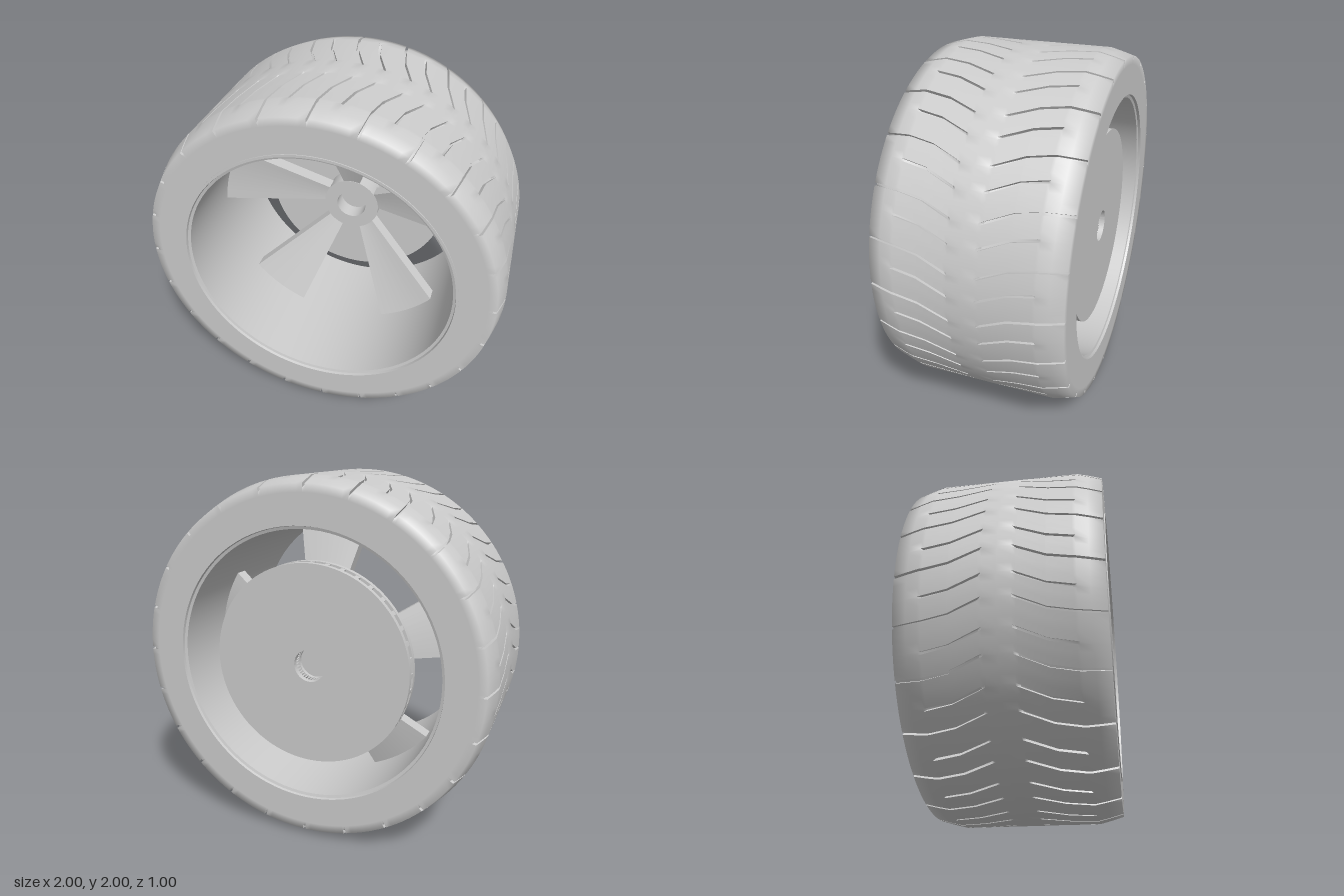
import * as THREE from 'three';
import { toCreasedNormals } from 'three/addons/utils/BufferGeometryUtils.js';

const material = new THREE.MeshStandardMaterial({ color: 0xcccccc });

function add(parent, name, geometry) {
  const mesh = new THREE.Mesh(geometry, material);
  mesh.name = name;
  parent.add(mesh);
  return mesh;
}

// Closed ring turned about the z axis; points are [radius, z], anticlockwise
function turned(points, segments = 96) {
  const profile = points.map(([r, z]) => new THREE.Vector2(r, z));
  const geometry = new THREE.LatheGeometry(profile, segments).rotateX(Math.PI / 2);
  return toCreasedNormals(geometry, 0.6);
}

const ring = (inner, outer, z0, z1) =>
  turned([[inner, z0], [outer, z0], [outer, z1], [inner, z1], [inner, z0]]);

// Tapered radial bar along +y with an arced outer end
function radialBar(r0, r1, half0, half1, z0, z1, depth) {
  const geometry = new THREE.BoxGeometry(2, 1, 1, 6, 1, 1);
  const p = geometry.attributes.position;
  for (let i = 0; i < p.count; i++) {
    const outer = p.getY(i) > 0;
    const x = p.getX(i) * (outer ? half1 : half0);
    const r = outer ? r1 : r0;
    p.setXYZ(i, x, Math.sqrt(r * r - x * x), (outer ? z1 : z0) + (p.getZ(i) - 0.5) * depth);
  }
  return toCreasedNormals(geometry, 0.6);
}

// Angular sweep of the chevron grooves at distance z from the centre line
function sweep(z) {
  const keys = [[0, 0], [0.07, 0], [0.23, 0.07], [0.36, 0.095], [0.5, 0.105]];
  const a = Math.min(Math.abs(z), 0.5);
  for (let i = 1; i < keys.length; i++) {
    const [z0, s0] = keys[i - 1], [z1, s1] = keys[i];
    if (a <= z1) return s0 + (s1 - s0) * (a - z0) / (z1 - z0);
  }
  return 0;
}

// Tyre skin: a grid whose columns follow the grooves and sink into them
function tyreGeometry() {
  const D = 0.02, W = 0.007, COUNT = 24, PITCH = Math.PI * 2 / COUNT;
  // [radius, z, long groove depth, short groove depth]
  const half = [
    [0.765, 0.47, 0, 0], [0.77, 0.5, 0, 0], [0.85, 0.5, 0, 0], [0.92, 0.5, 0, 0],
    [0.965, 0.5, D, 0], [0.985, 0.43, D, 0], [1, 0.37, D, 0], [1, 0.355, D, D],
    [1, 0.23, D, D], [1, 0.09, D, D], [1, 0.07, 0, 0],
  ];
  const rows = [
    ...half.map(([r, z, l, s]) => [r, -z, l, s]),
    [1, 0, 0, 0],
    ...half.slice().reverse(),
  ];
  // [angle, in long groove, in short groove]
  const S = 0.143;
  const columns = [
    [-W, 0, 0], [-W, 1, 0], [W, 1, 0], [W, 0, 0], [0.05, 0, 0], [0.095, 0, 0],
    [S - W, 0, 0], [S - W, 0, 1], [S + W, 0, 1], [S + W, 0, 0], [0.185, 0, 0], [0.22, 0, 0],
  ];
  const total = COUNT * columns.length;
  const positions = [], index = [];
  rows.forEach(([r, z, long, short], i) => {
    for (let j = 0; j < total; j++) {
      const [offset, inLong, inShort] = columns[j % columns.length];
      const angle = -0.09 + Math.floor(j / columns.length) * PITCH + offset + sweep(z);
      const radius = r - inLong * long - inShort * short;
      positions.push(radius * Math.cos(angle), radius * Math.sin(angle), z);
      if (i + 1 < rows.length) {
        const a = i * total + j, b = i * total + (j + 1) % total;
        index.push(a, b, b + total, a, b + total, a + total);
      }
    }
  });
  const geometry = new THREE.BufferGeometry();
  geometry.setAttribute('position', new THREE.Float32BufferAttribute(positions, 3));
  geometry.setIndex(index);
  return toCreasedNormals(geometry, 1.4);
}

export function createModel() {
  const model = new THREE.Group();
  model.name = 'wheel';
  const wheel = new THREE.Group();
  wheel.name = 'wheelAssembly';
  wheel.position.y = 1;
  model.add(wheel);

  add(wheel, 'tyre', tyreGeometry());

  // Rim barrel with a small lip on each side
  add(wheel, 'rim', turned([
    [0.74, -0.48], [0.755, -0.485], [0.758, -0.5], [0.772, -0.5], [0.772, 0.505],
    [0.758, 0.505], [0.755, 0.49], [0.74, 0.485], [0.74, -0.48],
  ]));

  // Five dished spokes
  const spokes = new THREE.Group();
  spokes.name = 'spokes';
  wheel.add(spokes);
  const spokeGeometry = radialBar(0.15, 0.75, 0.045, 0.192, -0.22, 0, 0.08);
  for (let i = 0; i < 5; i++) {
    add(spokes, 'spoke', spokeGeometry).rotation.z = i * Math.PI * 2 / 5;
  }

  // Hub with a blind centre bore
  add(wheel, 'hub', turned([
    [0, -0.34], [0.17, -0.34], [0.17, -0.21], [0.09, -0.21], [0.09, -0.31], [0, -0.31],
  ], 48));

  // Vented brake disc: two plates held apart by radial vanes
  const disc = new THREE.Group();
  disc.name = 'brakeDisc';
  wheel.add(disc);
  add(disc, 'frontPlate', ring(0.09, 0.56, -0.36, -0.33));
  add(disc, 'backPlate', ring(0.09, 0.56, -0.43, -0.4));
  const vaneGeometry = radialBar(0.092, 0.558, 0.003, 0.012, -0.36, -0.36, 0.04);
  for (let i = 0; i < 40; i++) {
    add(disc, 'vane', vaneGeometry).rotation.z = i * Math.PI / 20;
  }

  return model;
}
